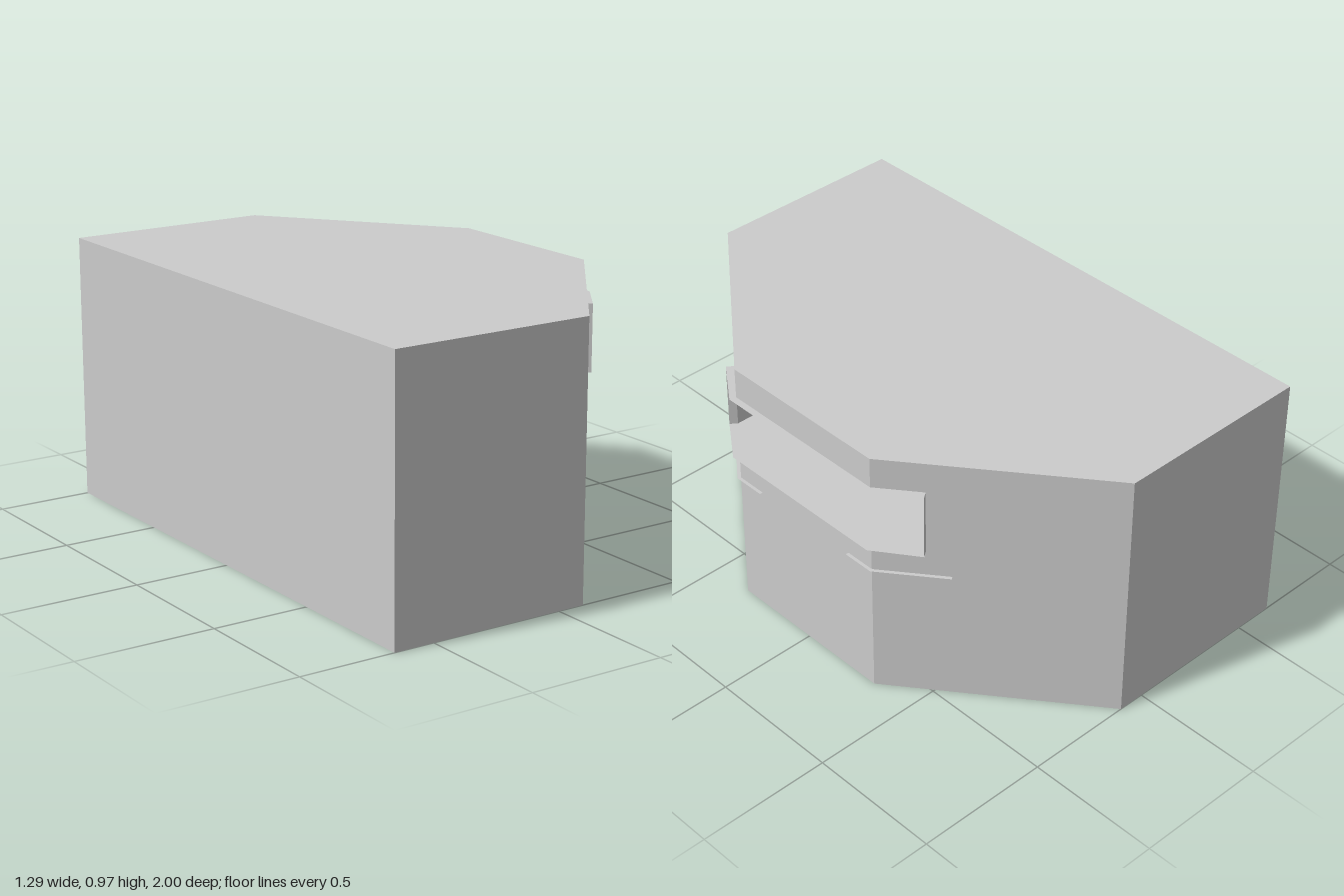
import * as THREE from 'three';

const material = new THREE.MeshStandardMaterial({ color: 0xcccccc, flatShading: true, side: THREE.DoubleSide });
const HEIGHT = 0.97, SILL = 0.61, LINTEL = 0.855;

const shapeOf = pts => new THREE.Shape(pts.map(p => new THREE.Vector2(p[0], p[1])));
const rect = (u0, u1, v0, v1) => [[u0, v0], [u1, v0], [u1, v1], [u0, v1]];
// mirrors an [x, z] outline across z = 0 to close it
const mirrored = pts => [...pts, ...pts.map(([x, z]) => [x, -z]).reverse()];

export function createModel() {
  const model = new THREE.Group();

  const add = (name, geometry, parent = model) => {
    const mesh = new THREE.Mesh(geometry, material);
    mesh.name = name;
    parent.add(mesh);
    return mesh;
  };

  // horizontal sheet from an [x, z] outline
  const sheet = (name, pts, y, down = false) => {
    const g = new THREE.ShapeGeometry(shapeOf(pts.map(([x, z]) => [x, down ? z : -z])));
    g.rotateX(down ? Math.PI / 2 : -Math.PI / 2);
    return add(name, g.translate(0, y, 0));
  };

  // upright wall from a to b ([x, z]); outlines are in [distance, height]
  const wall = (name, a, b, outline) => {
    const dir = new THREE.Vector3(b[0] - a[0], 0, b[1] - a[1]);
    const length = dir.length();
    dir.normalize();
    const up = new THREE.Vector3(0, 1, 0);
    const m = new THREE.Matrix4().makeBasis(dir, up, dir.clone().cross(up)).setPosition(a[0], 0, a[1]);
    const g = new THREE.ShapeGeometry(shapeOf(outline(length)));
    return add(name, g.applyMatrix4(m));
  };

  // outer shell: six-sided block with a wrap-around window
  const P = [[-0.65, 1], [0.1, 1], [0.62, 0.335], [0.62, -0.335], [0.1, -1], [-0.65, -1]];
  const full = l => rect(0, l, 0, HEIGHT);
  sheet('roof', P, HEIGHT);
  sheet('base', P, 0, true);
  wall('frontWall', P[0], P[1], full);
  wall('rearWall', P[4], P[5], full);
  wall('leftEndWall', P[5], P[0], full);
  const notch = 0.18;
  wall('frontSlantWall', P[1], P[2], l => [[0, 0], [l, 0], [l, SILL], [l - notch, SILL],
    [l - notch, LINTEL], [l, LINTEL], [l, HEIGHT], [0, HEIGHT]]);
  wall('rearSlantWall', P[3], P[4], l => [[0, 0], [l, 0], [l, HEIGHT], [0, HEIGHT],
    [0, LINTEL], [notch, LINTEL], [notch, SILL], [0, SILL]]);
  wall('lowerWindowWall', P[2], P[3], l => rect(0, l, 0, SILL));
  wall('upperWindowWall', P[2], P[3], l => rect(0, l, LINTEL, HEIGHT));

  // cabin behind the window; floor and ceiling run out as thin lips
  const jamb = [0.509, 0.477], lip = [0.533, 0.495], back = [0.1, 0.477];
  const room = mirrored([back, jamb, lip, [0.645, 0.34]]);
  sheet('cabinFloor', room, SILL);
  sheet('cabinCeiling', room, LINTEL, true);
  const flip = ([x, z]) => [x, -z];
  const opening = l => rect(0, l, SILL, LINTEL);
  wall('cabinBackWall', back, flip(back), opening);
  wall('cabinFrontWall', jamb, back, opening);
  wall('cabinRearWall', flip(back), flip(jamb), opening);
  wall('frontWindowJamb', jamb, lip, opening);
  wall('rearWindowJamb', flip(lip), flip(jamb), opening);

  // tapered panel beside the window
  wall('sidePanel', [0.3, 0.475], [0.32, 0.37], l => [[0, SILL], [l, SILL], [l * 0.86, 0.81], [0, 0.81]]);

  // faceted arches on the cabin's back wall, cut off by the floor
  const arch = (name, inner, outer, cy, segments) => {
    const half = Math.acos((SILL - cy) / outer);
    const g = new THREE.RingGeometry(inner, outer, segments, 1, Math.PI / 2 - half, half * 2);
    add(name, g.rotateY(Math.PI / 2).translate(0.105, cy, 0));
  };
  arch('largeArch', 0.46, 0.472, 0.337, 6);
  arch('smallArch', 0.117, 0.121, 0.56, 8);

  // spoked wheel lying on the cabin floor
  const wheel = new THREE.Group();
  wheel.name = 'floorWheel';
  wheel.position.set(0.5, SILL + 0.004, 0.04);
  model.add(wheel);
  for (const [name, r] of [['wheelRim', 0.1], ['wheelHub', 0.035]]) {
    add(name, new THREE.RingGeometry(r - 0.012, r, 16).rotateX(-Math.PI / 2), wheel);
  }
  for (let i = 0; i < 8; i++) {
    const g = new THREE.PlaneGeometry(0.11, 0.01).rotateX(-Math.PI / 2).translate(0.085, 0, 0);
    add('wheelSpoke', g.rotateY(i * Math.PI / 4), wheel);
  }

  // thin ledges wrapping both window corners
  const ledge = [[0.455, 0.546], [0.62, 0.335], [0.62, 0.22], [0.632, 0.22], [0.632, 0.34], [0.465, 0.554]];
  sheet('frontLedge', ledge, 0.512);
  sheet('rearLedge', ledge.map(flip), 0.512);

  return model;
}
